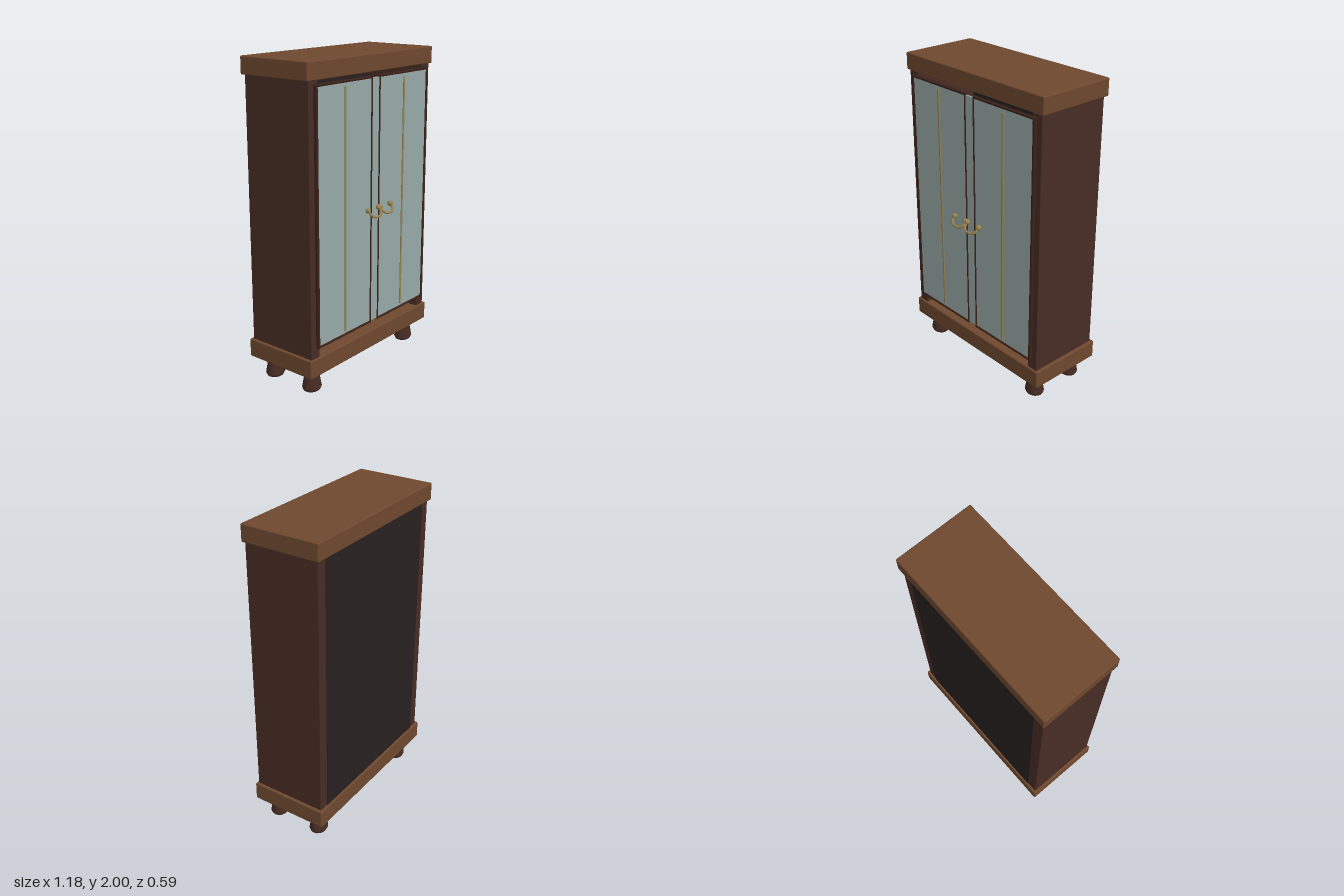
import * as THREE from 'three';
import { RoundedBoxGeometry } from 'three/addons/geometries/RoundedBoxGeometry.js';

const material = (name, color, side = THREE.FrontSide) => {
  const m = new THREE.MeshStandardMaterial({ color, side });
  m.name = name;
  return m;
};

export function createModel() {
  const group = new THREE.Group();
  group.name = 'cabinet';
  const wood = material('warm brown wood', 0x6e482e);
  const darkWood = material('dark brown wood', 0x472c24);
  const panel = material('dark panel', 0x272020);
  const frameWood = material('door frame wood', 0x3b2118);
  const glass = material('pale glass', 0x97aaa8);
  const brass = material('brass', 0x98824f);

  const add = (name, geometry, mat, parent = group) => {
    const mesh = new THREE.Mesh(geometry, mat);
    mesh.name = name;
    parent.add(mesh);
    return mesh;
  };
  // Box given by its limits on each axis, with optional rounded edges
  const box = (name, mat, [x0, x1], [y0, y1], [z0, z1], r = 0, parent = group) => {
    const s = [x1 - x0, y1 - y0, z1 - z0];
    const g = r ? new RoundedBoxGeometry(...s, 2, r) : new THREE.BoxGeometry(...s);
    g.translate((x0 + x1) / 2, (y0 + y1) / 2, (z0 + z1) / 2);
    return add(name, g, mat, parent);
  };

  // Top and base slabs
  box('topSlab', wood, [-0.592, 0.59], [1.893, 2], [-0.297, 0.215], 0.008);
  box('baseSlab', wood, [-0.592, 0.59], [0.14, 0.257], [-0.297, 0.215], 0.008);

  // Carcass: back panel between two thick sides
  box('backPanel', panel, [-0.505, 0.505], [0.25, 1.9], [-0.284, -0.24]);
  for (const s of [-1, 1]) {
    const x = s < 0 ? [-0.574, -0.5] : [0.497, 0.571];
    box(s < 0 ? 'rightSide' : 'leftSide', darkWood, x, [0.25, 1.9], [-0.28, 0.203], 0.004);
  }

  // Tapered feet with a chamfered bottom edge
  const footProfile = [[0, 0], [0.045, 0], [0.056, 0.006], [0.065, 0.024], [0.046, 0.12], [0, 0.12]]
    .map(([x, y]) => new THREE.Vector2(x, y));
  const creased = footProfile.flatMap((p, i) => (i === 1 || i === 4 ? [p, p.clone().setY(p.y + 1e-4)] : [p]));
  const footGeometry = new THREE.LatheGeometry(creased, 16);
  footGeometry.scale(1, 1, 0.87);
  for (const x of [-0.477, 0.473])
    for (const z of [0.115, -0.192])
      add('foot', footGeometry, darkWood).position.set(x, 0, z);

  // Doors: slim rounded frame, glass pane, brass strip and handle
  for (const s of [-1, 1]) {
    const door = new THREE.Group();
    door.name = s < 0 ? 'rightDoor' : 'leftDoor';
    group.add(door);
    const span = (a, b) => (s < 0 ? [-b, -a] : [a, b]);
    box('outerStile', frameWood, span(0.517, 0.535), [0.32, 1.874], [0.202, 0.225], 0.007, door);
    box('innerStile', frameWood, span(0.033, 0.042), [0.32, 1.874], [0.202, 0.225], 0.003, door);
    for (const y of [0.32, 1.859])
      box('rail', frameWood, span(0.034, 0.533), [y, y + 0.015], [0.202, 0.225], 0.006, door);
    box('pane', glass, span(0.04, 0.52), [0.33, 1.862], [0.207, 0.219], 0, door);
    box('brassStrip', brass, span(0.275, 0.289), [0.35, 1.84], [0.216, 0.225], 0.004, door);

    // Hanging bow between two round knobs
    const points = [[0.007, 1.08, 0.255], [0.011, 1.056, 0.277], [0.03, 1.041, 0.287],
      [0.058, 1.038, 0.289], [0.088, 1.041, 0.287], [0.106, 1.056, 0.277], [0.11, 1.08, 0.255]]
      .map(([x, y, z]) => new THREE.Vector3(s * x, y, z));
    const curve = new THREE.CatmullRomCurve3(points);
    add('handleBow', new THREE.TubeGeometry(curve, 32, 0.0075, 10), brass, door);
    for (const p of [points[0], points[6]])
      add('handleKnob', new THREE.SphereGeometry(0.017, 16, 12), brass, door).position.copy(p);
  }

  // Glass strip filling the gap between the doors
  box('centrePane', glass, [-0.036, 0.036], [0.33, 1.862], [0.207, 0.219]);
  return group;
}
